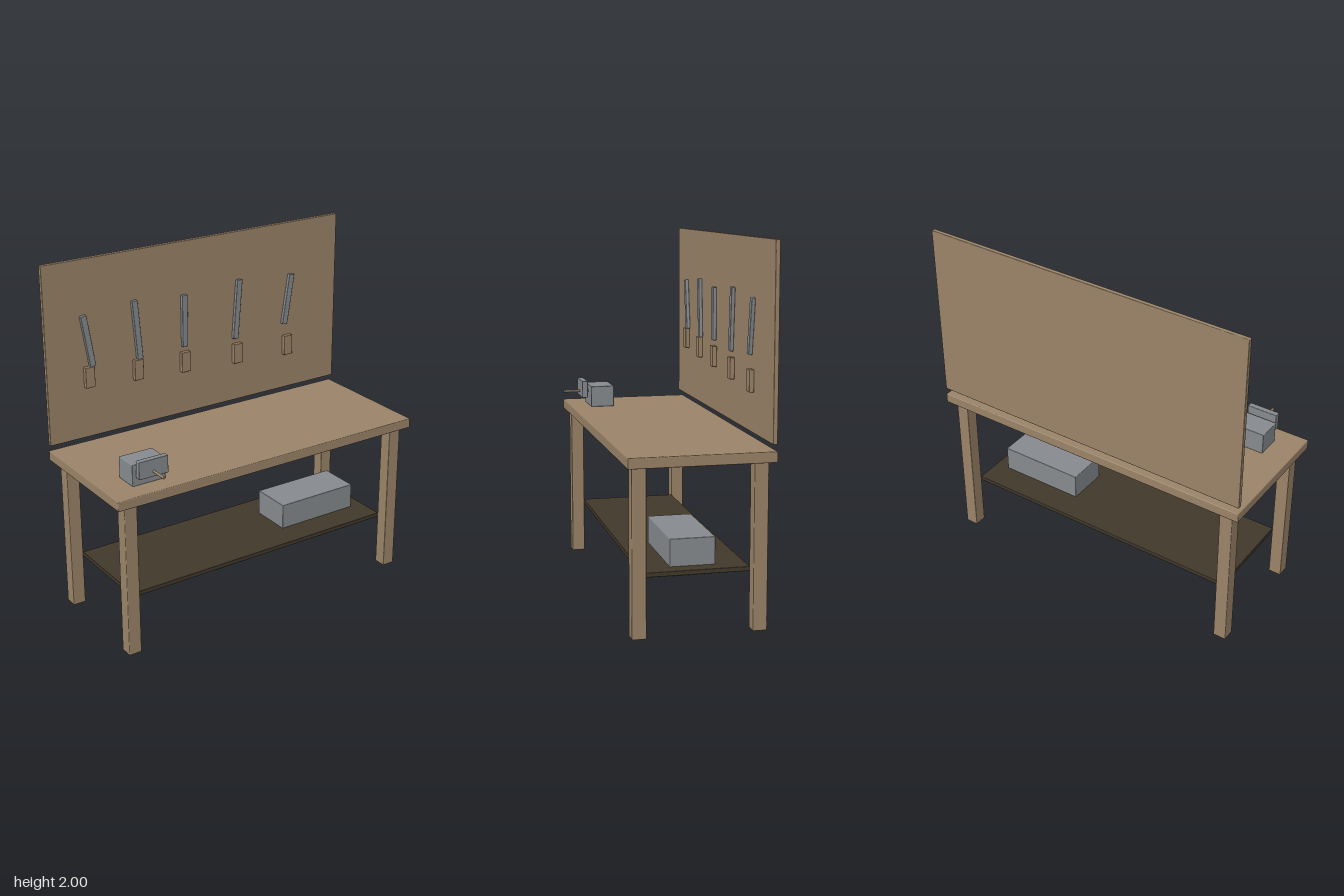
import * as THREE from 'three';
import { RoundedBoxGeometry } from 'three/addons/geometries/RoundedBoxGeometry.js';

const material = (name, color) => {
  const m = new THREE.MeshStandardMaterial({ color });
  m.name = name;
  return m;
};

export function createModel() {
  const wood = material('wood', 0x9a8368);
  const metal = material('metal', 0x868a8e);
  const darkWood = material('dark wood', 0x40382a);
  const model = new THREE.Group();
  model.name = 'workbench';

  // Box with slightly eased edges, given by its min and max on each axis
  const block = (name, mat, [x0, x1], [y0, y1], [z0, z1], bevel = 0.005, parent = model) => {
    const geo = new RoundedBoxGeometry(x1 - x0, y1 - y0, z1 - z0, 1, bevel);
    const mesh = new THREE.Mesh(geo, mat);
    mesh.name = name;
    mesh.position.set((x0 + x1) / 2, (y0 + y1) / 2, (z0 + z1) / 2);
    parent.add(mesh);
    return mesh;
  };

  // Bench
  block('tabletop', wood, [-0.97, 0.97], [0.888, 0.945], [-0.405, 0.365]);
  for (const x of [-0.882, 0.882]) {
    for (const [name, z] of [['frontLeg', 0.298], ['backLeg', -0.337]]) {
      block(name, wood, [x - 0.038, x + 0.038], [0, 0.89], [z - 0.038, z + 0.038]);
    }
  }
  block('lowerShelf', darkWood, [-0.847, 0.847], [0.3, 0.325], [-0.3, 0.262], 0.003);
  block('toolBox', metal, [0.257, 0.765], [0.272, 0.472], [-0.14, 0.103], 0.004);

  // Board standing behind the bench
  block('toolBoard', wood, [-0.97, 0.97], [0.98, 2], [-0.402, -0.377], 0.004);

  // Hanging tools: x, bar centre height, bar length, tilt, handle centre height
  const tools = [
    [-0.72, 1.543, 0.3, 0.16, 1.337],
    [-0.413, 1.547, 0.345, 0.08, 1.316],
    [-0.105, 1.541, 0.304, 0, 1.298],
    [0.253, 1.543, 0.352, -0.08, 1.276],
    [0.612, 1.54, 0.304, -0.16, 1.256],
  ];
  for (const [x, y, length, tilt, handleY] of tools) {
    const tool = new THREE.Group();
    tool.name = 'hangingTool';
    model.add(tool);
    const bar = block('toolBar', metal, [x - 0.018, x + 0.018],
      [y - length / 2, y + length / 2], [-0.377, -0.355], 0.004, tool);
    bar.rotation.z = tilt;
    block('toolHandle', wood, [x - 0.029, x + 0.029],
      [handleY - 0.06, handleY + 0.06], [-0.377, -0.35], 0.004, tool);
  }

  // Vise
  const vise = new THREE.Group();
  vise.name = 'vise';
  model.add(vise);
  block('viseBody', metal, [-0.82, -0.62], [0.945, 1.068], [0.113, 0.252], 0.004, vise);
  block('viseJaw', metal, [-0.809, -0.632], [1.0, 1.1], [0.27, 0.304], 0.004, vise);

  const rod = (name, mat, radius, z0, z1) => {
    const mesh = new THREE.Mesh(new THREE.CylinderGeometry(radius, radius, z1 - z0, 12), mat);
    mesh.name = name;
    mesh.rotation.x = Math.PI / 2;
    mesh.position.set(-0.72, 1.03, (z0 + z1) / 2);
    vise.add(mesh);
  };
  rod('viseScrew', metal, 0.008, 0.24, 0.29);
  rod('viseHandle', wood, 0.007, 0.29, 0.405);

  return model;
}
